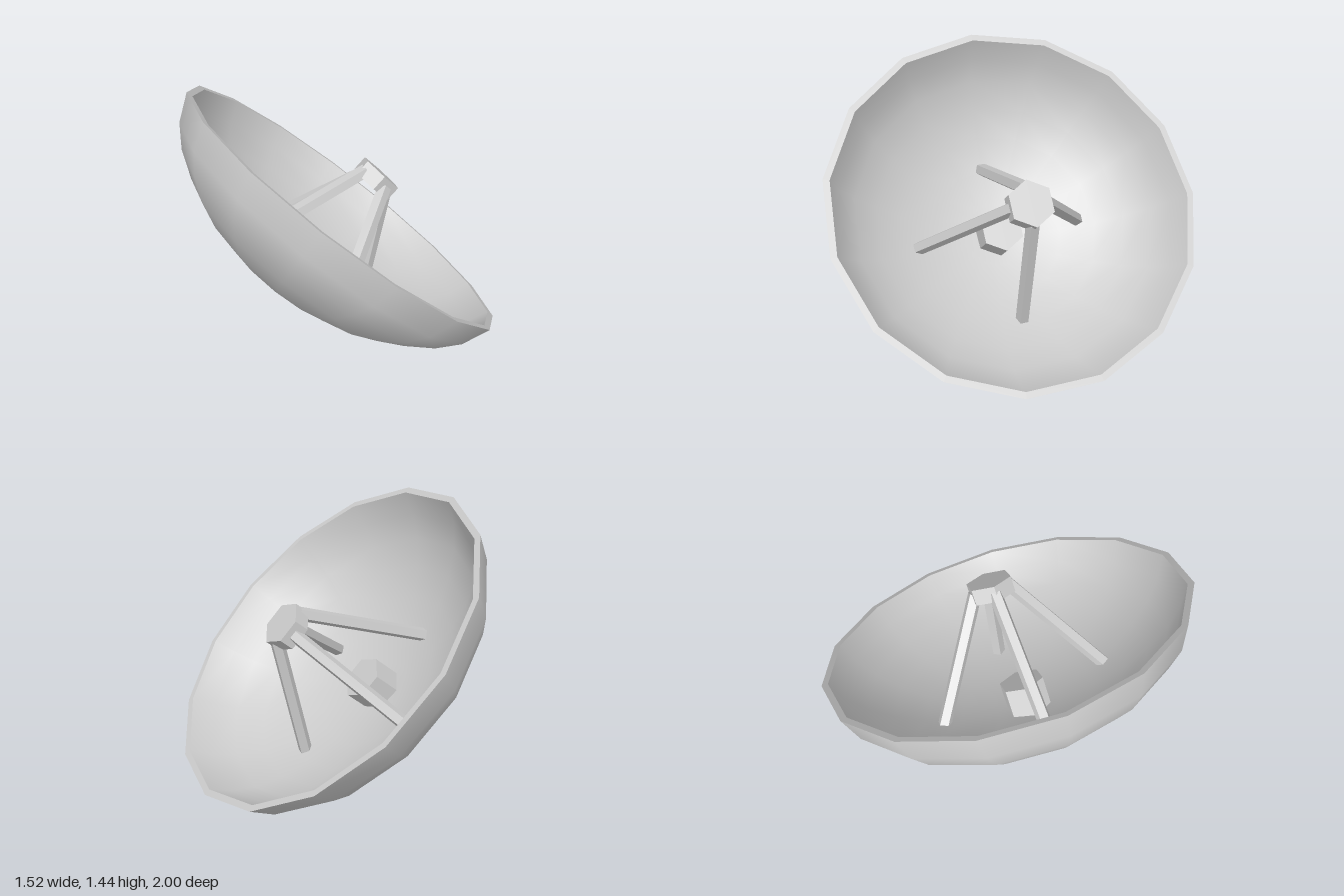
import * as THREE from 'three';

const V = (x, y, z = 0) => new THREE.Vector3(x, y, z);

// Frame whose y follows an axis and whose z points as near as possible to "toward"
function orient(object, origin, axis, toward) {
  const y = axis.clone().normalize();
  const x = y.clone().cross(toward).normalize();
  const z = x.clone().cross(y);
  object.quaternion.setFromRotationMatrix(new THREE.Matrix4().makeBasis(x, y, z));
  object.position.copy(origin);
  return object;
}

export function createModel() {
  const model = new THREE.Group();
  const smooth = new THREE.MeshStandardMaterial({ color: 0xcccccc });
  const flat = new THREE.MeshStandardMaterial({ color: 0xcccccc, flatShading: true });

  const add = (parent, name, geometry, material) => {
    const mesh = new THREE.Mesh(geometry, material);
    mesh.name = name;
    parent.add(mesh);
    return mesh;
  };

  // Tilted 15-sided bowl: outer shell, rim and inner shell; local y = 0 is the rim plane
  const outer = [
    [0, -0.55], [0.18, -0.54], [0.387, -0.503], [0.576, -0.435],
    [0.725, -0.354], [0.855, -0.255], [0.945, -0.147], [1.005, 0],
  ].map(([r, h]) => new THREE.Vector2(r, h));
  const inner = outer.map((p, i) =>
    new THREE.Vector2(p.x * 0.965, i === outer.length - 1 ? 0 : p.y + 0.033)).reverse();
  const rim = [outer[outer.length - 1], inner[0]];

  const dish = new THREE.Group();
  dish.name = 'dish';
  orient(dish, V(0.036, 0.764), V(0.682, 0.732), V(-0.732, 0.682));
  add(dish, 'outerShell', new THREE.LatheGeometry(outer, 15), smooth);
  add(dish, 'rim', new THREE.LatheGeometry(rim, 15), flat);
  add(dish, 'innerShell', new THREE.LatheGeometry(inner, 15), smooth);
  model.add(dish);

  // Hexagonal mount through the bowl and receiver in front, on one axis
  const axis = V(0.75, 0.66).normalize();
  const across = V(-0.66, 0.75).normalize();
  const back = V(-0.36, 0.35);
  const along = (t) => back.clone().addScaledVector(axis, t);
  const hexBlock = (name, from, to) => {
    const mesh = add(model, name, new THREE.CylinderGeometry(0.125, 0.125, to - from, 6), flat);
    orient(mesh, along((from + to) / 2), axis, across);
  };
  hexBlock('mount', 0, 0.215);
  hexBlock('receiver', 0.735, 0.82);

  // Four struts from the receiver to the inside of the bowl
  const struts = [
    ['lowerStrut', V(0.13, 0.1), across.clone().negate()],
    ['upperStrut', V(-0.56, 0.686), across],
    ['leftStrut', V(-0.26, 0.425, 0.475), V(0, 0, 1)],
    ['rightStrut', V(-0.26, 0.425, -0.475), V(0, 0, -1)],
  ];
  for (const [name, foot, outward] of struts) {
    const top = along(0.775).addScaledVector(outward, 0.09);
    const span = top.clone().sub(foot);
    const geometry = new THREE.CylinderGeometry(0.038, 0.038, span.length(), 5, 1, false, Math.PI);
    const mesh = add(model, name, geometry, flat);
    orient(mesh, foot.clone().add(top).multiplyScalar(0.5), span, outward);
  }

  return model;
}
